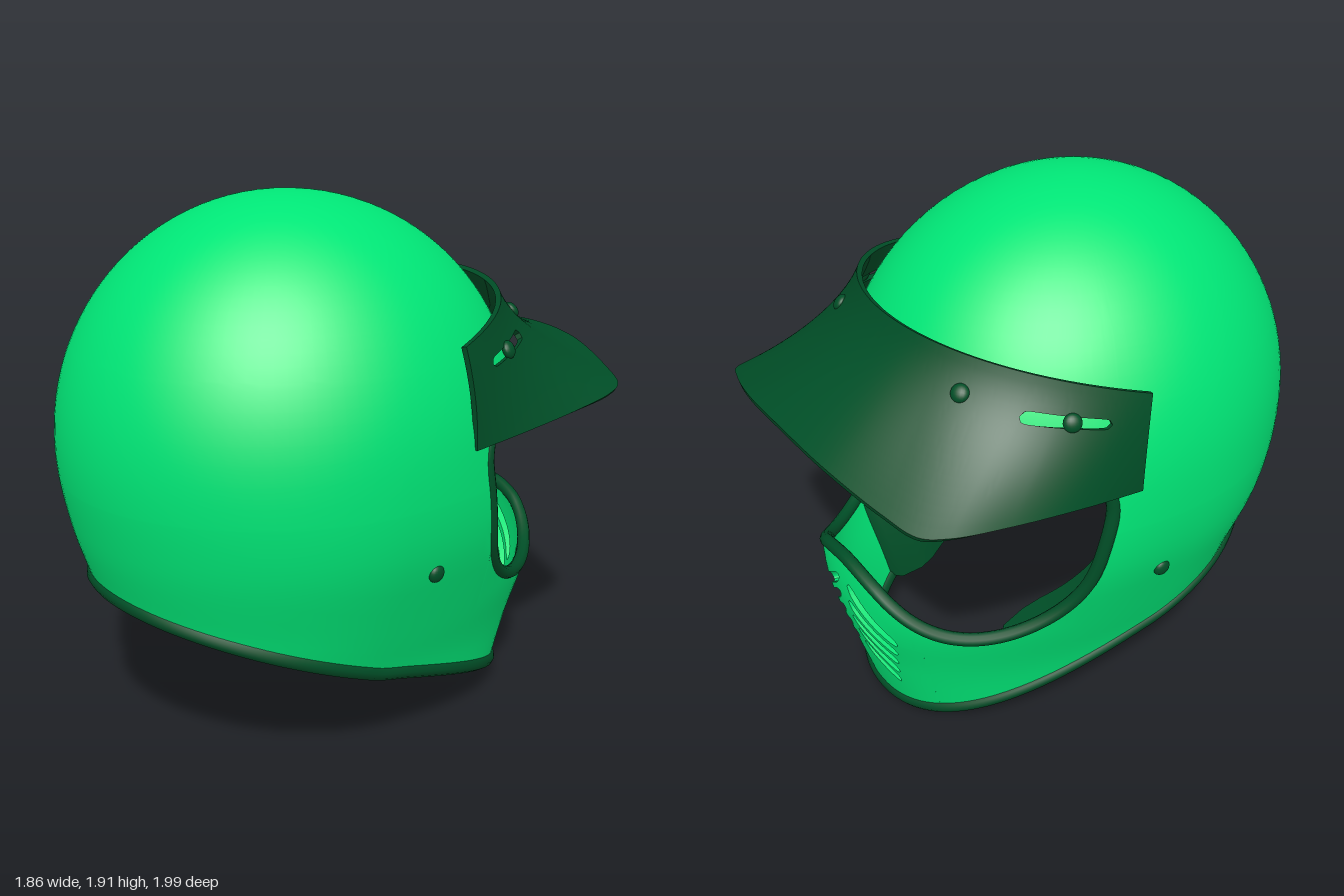
import * as THREE from 'three';
import { mergeGeometries, toCreasedNormals } from 'three/addons/utils/BufferGeometryUtils.js';

const PI = Math.PI, TOP = 1.91, WAIST = 1.08, CZ = -0.255;
const OPEN = 1.18;            // half angle of the face opening
const CHIN = 0.5;             // half angle of the vented chin panel
const { clamp, smoothstep } = THREE.MathUtils;
const green = new THREE.MeshStandardMaterial({ color: 0x00e676 });
green.name = 'shell green';
const dark = new THREE.MeshStandardMaterial({ color: 0x004d26 });
dark.name = 'dark green';

// Half width, front reach and back reach of the shell, at equal height steps
const sections = new THREE.CatmullRomCurve3([
  [0.52, 0.845, 0.655], [0.56, 0.925, 0.665], [0.65, 0.99, 0.705],
  [0.737, 0.955, 0.78], [0.758, 0.85, 0.815], [0.716, 0.803, 0.77],
].map(p => new THREE.Vector3(...p)), false, 'catmullrom');

// Point on the shell at angle a (0 = face), height y and inward offset d
function shellPoint(a, y, d = 0) {
  let c = Math.cos(a), s = Math.sin(a), w, f, b;
  if (y >= WAIST) {
    const r = (y - WAIST) / (TOP - WAIST - d);
    const k = Math.sqrt(Math.max(0, 1 - r * r));
    w = (0.758 - d) * k;
    f = (0.85 - d) * k;
    b = (0.815 - d) * k;
  } else {
    const p = sections.getPoint(clamp(y / 0.27 / 5, 0, 1));
    w = p.x - d; f = p.y - d; b = p.z - d;
  }
  // The face side is slightly squarer below the brow
  if (c > 0) {
    const power = 0.92 + 0.08 * smoothstep(y, 0.95, 1.5);
    c = c ** power;
    s = Math.sign(s) * Math.abs(s) ** power;
  }
  return new THREE.Vector3(w * s, y, CZ + (c > 0 ? f : b) * c);
}

// Edge heights of the face opening, the sloping neck rim and a belt above it
const side = a => Math.min(Math.abs(a), Math.abs(2 * PI - a));
const arch = (a, n, open = OPEN) => Math.pow(Math.max(0, 1 - Math.pow(Math.min(1, side(a) / open), n)), 1 / n);
const brow = a => 0.98 + 0.4 * arch(a, 2.8);
const sill = a => 0.98 - arch(a, 3.5) * (0.515 - 0.235 * Math.exp(-((side(a) / 0.5) ** 2)));
const rim = a => 0.35 - (Math.cos(a) > 0 ? 0.32 : 0.27) * Math.cos(a);
const belt = a => Math.max(0.42, rim(a) + 0.08);

// Closed solid through a row of equal rings (outer side down, inner side up)
function loft(us, ringAt) {
  const rings = us.map(ringAt), n = rings[0].length, pos = [], idx = [];
  rings.forEach(r => r.forEach(p => pos.push(p.x, p.y, p.z)));
  const quad = (a, b, c, d) => idx.push(a, b, c, a, c, d);
  for (let i = 0; i < us.length - 1; i++) {
    for (let j = 0; j < n; j++) {
      const k = (j + 1) % n, p = i * n, q = p + n;
      quad(p + j, p + k, q + k, q + j);
    }
  }
  const e = (us.length - 1) * n;
  for (let j = 0; j < n / 2 - 1; j++) {
    quad(j, n - 1 - j, n - 2 - j, j + 1);
    quad(e + j, e + j + 1, e + n - 2 - j, e + n - 1 - j);
  }
  const g = new THREE.BufferGeometry();
  g.setAttribute('position', new THREE.Float32BufferAttribute(pos, 3));
  g.setIndex(idx);
  return g;
}

// Piece of wall that follows the shell between two edge heights
function wall(us, top, bottom, rows, d0, d1) {
  return loft(us, a => {
    const ring = [];
    const add = (j, d) => {
      const t = top(a, d), b = bottom(a);
      ring.push(shellPoint(a, t - (t - b) * (1 - Math.cos(j / rows * PI / 2)), d));
    };
    for (let j = 0; j <= rows; j++) add(j, d0);
    for (let j = rows; j >= 0; j--) add(j, d1(a));
    return ring;
  });
}

const range = (a, b, n) => Array.from({ length: n + 1 }, (_, i) => a + (b - a) * i / n);
// Angles around the shell, packed closely where the opening ends
function angles(n, open) {
  const ends = range(0, 1, 10).map(t => open * (1 - 0.16 * t * t));
  return [...range(0, 2 * PI, n), ...ends, ...ends.map(x => 2 * PI - x)]
    .sort((x, y) => x - y).filter((x, i, l) => i === 0 || x - l[i - 1] > 0.0012);
}

// Visor: band hugging the brow, flaring into a peak with tight corners
const half = [[0.25, 1.31, 0.885], [0.49, 1.25, 0.825], [0.605, 1.215, 0.775],
  [0.65, 1.2, 0.69], [0.69, 1.18, 0.5], [0.725, 1.155, 0.23], [0.735, 1.13, 0.01]];
const peakEdge = new THREE.CatmullRomCurve3([
  ...half.map(([x, y, z]) => new THREE.Vector3(-x, y, z)).reverse(),
  new THREE.Vector3(0, 1.33, 0.9),
  ...half.map(p => new THREE.Vector3(...p)),
]);
function visorSurface(u, v) {
  const a = u * 1.257, s = Math.sin(a), c = Math.cos(a);
  const p0 = new THREE.Vector3(0.745 * s, 1.595 - 0.125 * u * u, CZ + 0.74 * c);
  const p1 = new THREE.Vector3(0.775 * s, 1.3 + 0.09 * (1 - u * u), CZ + 0.855 * c);
  const p2 = peakEdge.getPoint(clamp((u + 1) / 2, 0, 1));
  return p0.multiplyScalar((1 - v) ** 2).addScaledVector(p1, 2 * v * (1 - v)).addScaledVector(p2, v * v);
}
function visorNormal(u, v) {
  const e = 0.004;
  const du = visorSurface(Math.min(1, u + e), v).sub(visorSurface(Math.max(-1, u - e), v));
  const dv = visorSurface(u, v + e).sub(visorSurface(u, v - e));
  return dv.cross(du).normalize();
}
function visorStrip(us, top, bottom, rows) {
  return loft(us, u => {
    const ring = [];
    const add = (j, d) => {
      const v = top(u) + (bottom(u) - top(u)) * j / rows;
      ring.push(visorSurface(u, v).addScaledVector(visorNormal(u, v), -d));
    };
    for (let j = 0; j <= rows; j++) add(j, 0);
    for (let j = rows; j >= 0; j--) add(j, 0.02);
    return ring;
  });
}

// Height of a round-ended slot at distance x (-1 to 1) from its middle
const slotShape = (x, n) => Math.sqrt(Math.max(0, 1 - Math.abs(x) ** n));

export function createModel() {
  const helmet = new THREE.Group();
  helmet.name = 'helmet';
  const add = (name, geometry, material) => {
    const m = new THREE.Mesh(geometry, material);
    m.name = name;
    helmet.add(m);
    return m;
  };
  const smooth = list => toCreasedNormals(mergeGeometries(list), PI / 4);
  const thin = () => 0.03;
  const crown = (a, d) => TOP - d;

  // Outer shell, with the chin built as bands between slanted vents
  const around = angles(112, OPEN), sides = around.filter(a => side(a) > CHIN - 0.06);
  const shell = [
    wall(around, crown, () => 1.42, 20, 0, thin),
    wall(around, () => 1.42, brow, 10, 0, thin),
    wall(sides, sill, belt, 10, 0, thin),
    wall(sides, belt, rim, 5, 0, thin),
  ];
  const chinAngles = range(-CHIN, CHIN, 160);
  const vent = (i, sign) => a => {
    const s = Math.abs(a), inner = 0.035, outer = 0.355 - 0.022 * i;
    const x = (2 * s - inner - outer) / (outer - inner);
    return 0.605 - 0.075 * i - 0.54 * (clamp(s, inner, outer) - inner) + sign * 0.025 * slotShape(x, 8);
  };
  for (let i = 0; i <= 5; i++) {
    shell.push(wall(chinAngles, i ? vent(i - 1, -1) : sill, i < 5 ? vent(i, 1) : rim, 4, 0, thin));
  }
  add('shell', smooth(shell), green);

  // Padding inside the crown and cheeks, set back from the opening
  const inset = OPEN + 0.1;
  const padded = angles(72, inset);
  const pad = a => 0.03 + 0.12 * Math.sqrt(clamp((side(a) - 0.85) / 0.15, 0, 1));
  add('liner', smooth([
    wall(padded, crown, a => 0.98 + 0.43 * arch(a, 2.8, inset), 18, 0.03, () => 0.15),
    wall(padded.filter(a => side(a) > 0.84), a => 0.98 - 0.5 * arch(a, 3.5, inset),
      a => rim(a) + 0.01, 10, 0.03, pad),
  ]), dark);

  // Rubber trims
  const tube = (pts, r) => new THREE.TubeGeometry(new THREE.CatmullRomCurve3(pts, true), 200, r, 10, true);
  add('neckTrim', tube(range(0, 2 * PI, 60).slice(0, -1).map(a => shellPoint(a, rim(a), 0.014)), 0.03), dark);
  const loop = range(0, 2 * PI, 96).slice(0, -1).map(t => {
    const s = Math.sin(t), a = OPEN * Math.sign(s) * Math.abs(s) ** 0.65;
    return shellPoint(a, Math.cos(t) > 0 ? brow(a) : sill(a), 0.014);
  });
  add('openingTrim', tube(loop, 0.024), dark);

  // Visor with an adjustment slot on each side
  const us = range(-1, 1, 200);
  const slot = sign => u => 0.3 + sign * 0.045 * slotShape((Math.abs(u) - 0.74) / 0.14, 14);
  add('visor', smooth([
    visorStrip(us, () => 0, slot(-1), 5),
    visorStrip(us, slot(1), () => 1, 14),
  ]), dark);

  // Visor screws and side rivets
  const stud = (name, p, n, r) => {
    const m = add(name, new THREE.SphereGeometry(r, 20, 12), dark);
    m.scale.z = 0.6;
    m.position.copy(p);
    m.lookAt(p.clone().add(n));
  };
  for (const s of [-1, 1]) {
    stud('visorScrew', visorSurface(s * 0.39, 0.25), visorNormal(s * 0.39, 0.25), 0.031);
    stud('slotScrew', visorSurface(s * 0.76, 0.3), visorNormal(s * 0.76, 0.3), 0.031);
    stud('sideRivet', shellPoint(s * 1.46, 0.73), new THREE.Vector3(s, -0.1, 0.1), 0.031);
  }

  // The helmet is turned away from the front
  helmet.rotation.y = 2.55;
  helmet.position.x = -0.012;
  const model = new THREE.Group();
  model.name = 'motocrossHelmet';
  model.add(helmet);
  return model;
}
